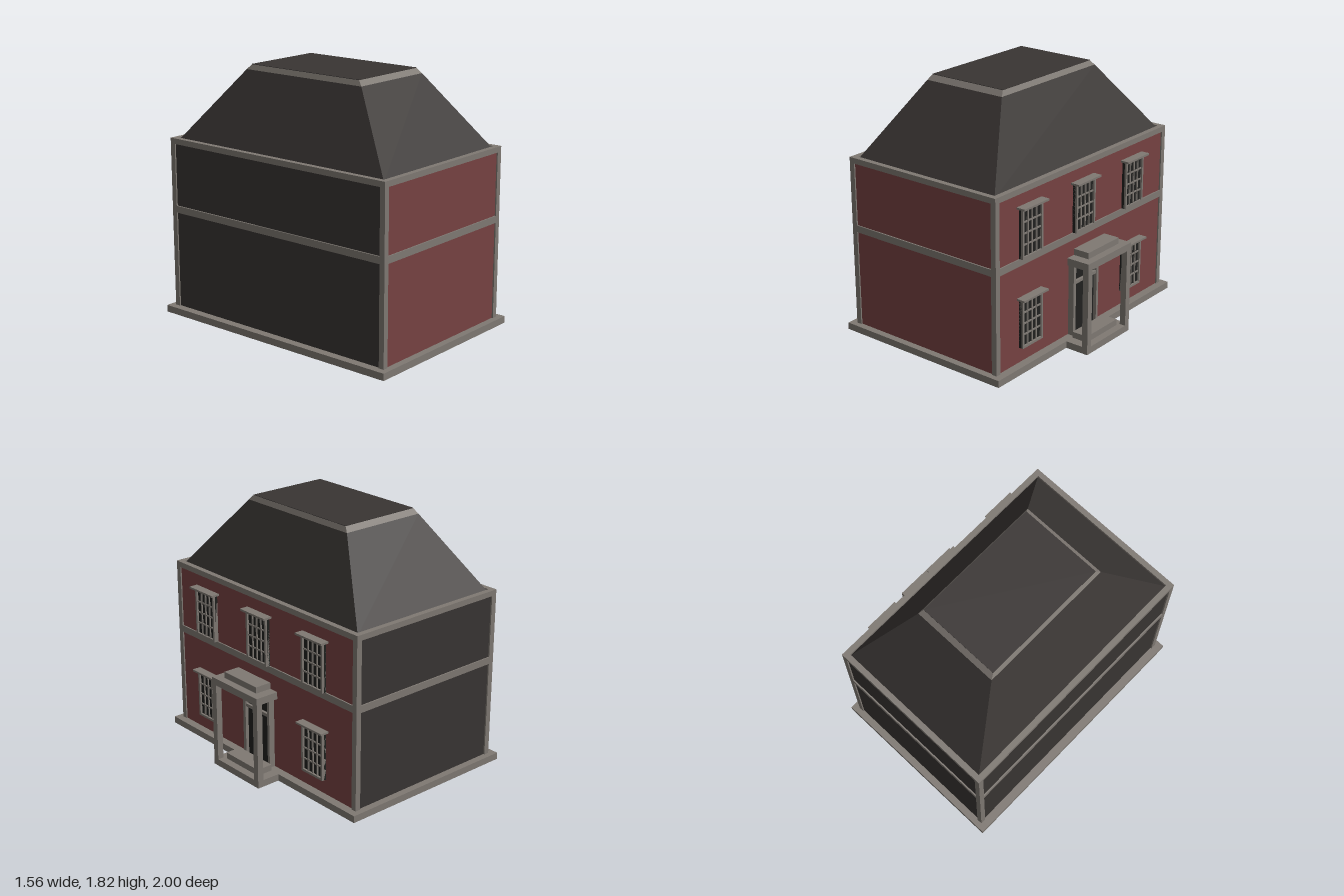
import * as THREE from 'three';

const mat = (color) => new THREE.MeshStandardMaterial({ color, flatShading: true });

export function createModel() {
  const house = new THREE.Group();
  house.name = 'house';
  const trim = mat(0x7f7973), brick = mat(0x774242), dark = mat(0x393533), glass = mat(0x20211f);

  // box given by its extents on each axis
  function box(name, material, x0, x1, y0, y1, z0, z1, parent = house) {
    const m = new THREE.Mesh(new THREE.BoxGeometry(x1 - x0, y1 - y0, z1 - z0), material);
    m.position.set((x0 + x1) / 2, (y0 + y1) / 2, (z0 + z1) / 2);
    m.name = name;
    parent.add(m);
    return m;
  }

  // rectangular ring lying flat, w wide
  function ring(name, x0, x1, y0, y1, z0, z1, w) {
    const g = new THREE.Group();
    g.name = name;
    box('ringFront', trim, x0, x1, y0, y1, z1 - w, z1, g);
    box('ringBack', trim, x0, x1, y0, y1, z0, z0 + w, g);
    box('ringRight', trim, x1 - w, x1, y0, y1, z0 + w, z1 - w, g);
    box('ringLeft', trim, x0, x0 + w, y0, y1, z0 + w, z1 - w, g);
    house.add(g);
  }

  // four-sided frustum between two rectangles [x0, x1, z0, z1]
  function frustum(name, material, y0, a, y1, b) {
    const geo = new THREE.BoxGeometry(1, 1, 1);
    const p = geo.attributes.position;
    for (let i = 0; i < p.count; i++) {
      const up = p.getY(i) > 0, r = up ? b : a;
      p.setXYZ(i, r[p.getX(i) > 0 ? 1 : 0], up ? y1 : y0, r[p.getZ(i) > 0 ? 3 : 2]);
    }
    geo.computeVertexNormals();
    const m = new THREE.Mesh(geo, material);
    m.name = name;
    house.add(m);
  }

  // plinth and floor
  ring('plinth', -0.78, 0.6, 0, 0.05, -1, 1, 0.06);
  box('floor', dark, -0.72, 0.54, 0.002, 0.05, -0.94, 0.94);

  // walls: brick to the front and right, dark to the back and left
  const walls = box('walls', brick, -0.72, 0.54, 0.05, 1.27, -0.95, 0.95);
  walls.material = [brick, dark, dark, dark, brick, dark];

  // corner posts and horizontal bands
  for (const x of [-0.73, 0.51])
    for (const z of [-0.96, 0.92]) box('cornerPost', trim, x, x + 0.04, 0.05, 1.25, z, z + 0.04);
  ring('floorBand', -0.73, 0.55, 0.75, 0.8, -0.96, 0.96, 0.04);
  ring('eavesBand', -0.73, 0.55, 1.25, 1.29, -0.96, 0.96, 0.04);

  // hipped roof with a flat, trimmed top
  frustum('roof', dark, 1.27, [-0.69, 0.51, -0.92, 0.92], 1.785, [-0.415, 0.235, -0.51, 0.51]);
  frustum('roofCurb', trim, 1.785, [-0.415, 0.235, -0.51, 0.51], 1.82, [-0.397, 0.217, -0.477, 0.477]);
  box('roofDeck', dark, -0.397, 0.217, 1.81, 1.823, -0.477, 0.477);

  // sash window on the right wall
  function sashWindow(z, y) {
    const g = new THREE.Group();
    g.name = 'window';
    const w = 0.107, h = 0.35, f = 0.016;
    box('glass', glass, 0.54, 0.56, 0, h, -w, w, g);
    for (const s of [-1, 1]) {
      const c = s * (w - f / 2);
      box('windowJamb', trim, 0.54, 0.575, 0, h, c - f / 2, c + f / 2, g);
    }
    box('windowSill', trim, 0.54, 0.575, 0, f, -w + f, w - f, g);
    box('windowHead', trim, 0.54, 0.575, h - f, h, -w + f, w - f, g);
    box('windowLintel', trim, 0.54, 0.605, h, h + 0.014, -0.129, 0.129, g);
    for (let i = 1; i < 4; i++) {
      const c = -w + f + (i / 4) * 2 * (w - f), r = f + (i / 4) * (h - 2 * f);
      box('verticalBar', trim, 0.56, 0.569, f, h - f, c - 0.005, c + 0.005, g);
      box('crossBar', trim, 0.56, 0.568, r - 0.005, r + 0.005, -w + f, w - f, g);
    }
    g.position.set(0, y, z);
    house.add(g);
  }
  for (const z of [0.608, 0.03, -0.549]) sashWindow(z, 0.8);
  for (const z of [0.608, -0.549]) sashWindow(z, 0.16);

  // door with transom light
  box('door', glass, 0.54, 0.56, 0.05, 0.56, -0.093, 0.147);
  box('doorJamb', trim, 0.54, 0.585, 0.05, 0.58, 0.147, 0.174);
  box('doorJamb', trim, 0.54, 0.585, 0.05, 0.58, -0.115, -0.093);
  box('doorHead', trim, 0.54, 0.585, 0.56, 0.58, -0.093, 0.147);
  box('transomBar', trim, 0.54, 0.58, 0.43, 0.452, -0.093, 0.147);

  // porch
  box('porchFloor', trim, 0.6, 0.777, 0, 0.05, -0.225, 0.27);
  box('porchStep', trim, 0.6, 0.722, 0.05, 0.095, -0.152, 0.198);
  for (const z of [-0.225, 0.225]) box('porchColumn', trim, 0.732, 0.777, 0.05, 0.62, z, z + 0.045);
  box('porchCanopy', trim, 0.6, 0.777, 0.62, 0.672, -0.225, 0.27);
  box('porchCap', trim, 0.6, 0.722, 0.672, 0.717, -0.152, 0.198);

  return house;
}
